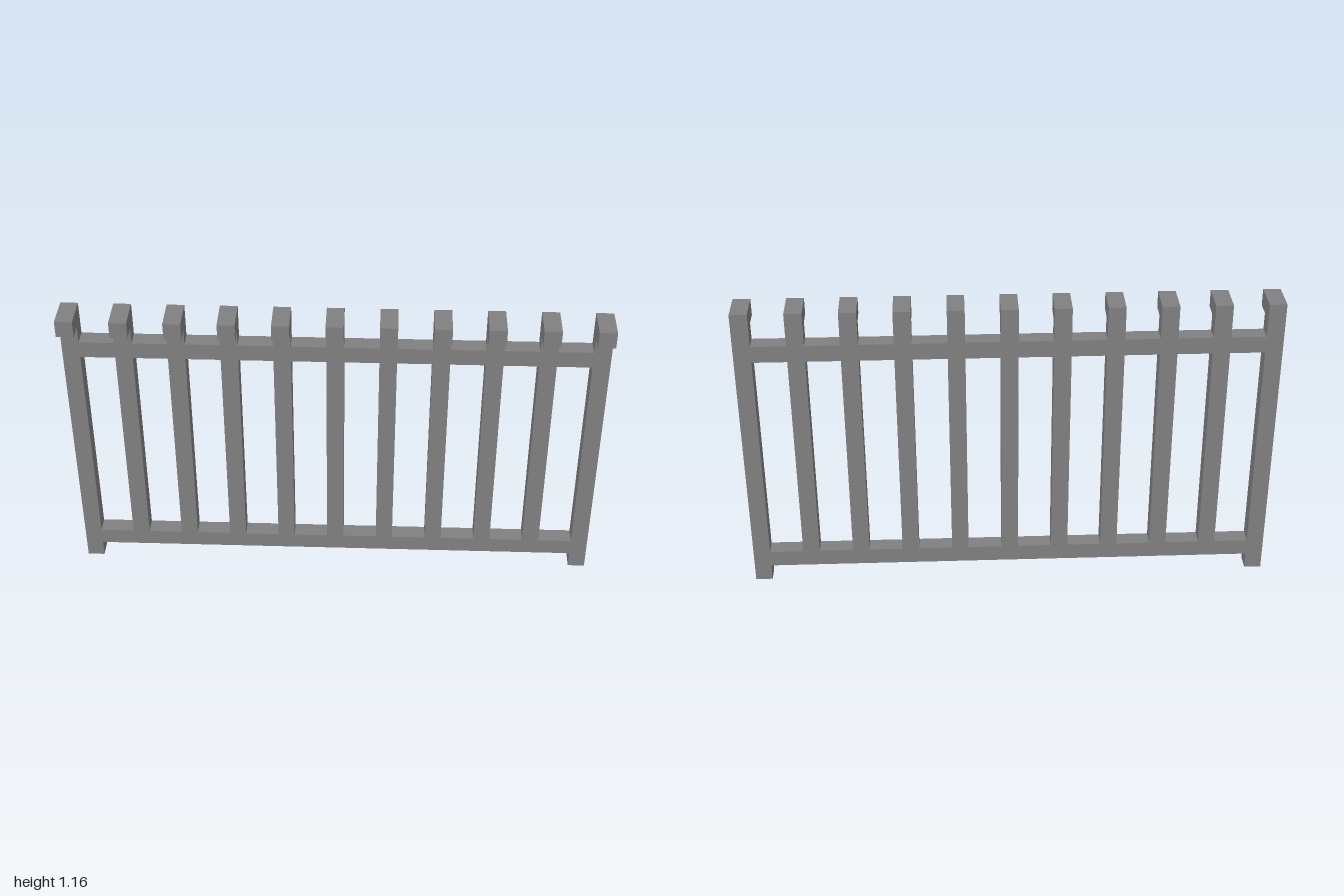
import * as THREE from 'three';

const U = 2 / 31;          // square bar thickness: 11 bars and 10 double gaps make 31 units
const COUNT = 11;
const PITCH = 3 * U;
const TOP = 18 * U;

// Upright bar with a square hook at the top pointing to the front
function picketGeometry(bottom) {
  const profile = new THREE.Shape([
    [-U, bottom], [0, bottom], [0, TOP - U], [U, TOP - U], [U, TOP], [-U, TOP],
  ].map(([z, y]) => new THREE.Vector2(z, y)));
  const geometry = new THREE.ExtrudeGeometry(profile, { depth: U, bevelEnabled: false });
  geometry.rotateY(-Math.PI / 2);
  geometry.translate(U / 2, 0, 0);
  return geometry;
}

export function createModel() {
  const fence = new THREE.Group();
  fence.name = 'fence';
  const grey = new THREE.MeshStandardMaterial({ color: 0x808080 });
  grey.name = 'grey metal';

  const add = (name, geometry, x, y, z) => {
    const mesh = new THREE.Mesh(geometry, grey);
    mesh.name = name;
    mesh.position.set(x, y, z);
    fence.add(mesh);
  };

  // End posts reach the ground, inner pickets stop at the lower rail's underside
  const post = picketGeometry(0);
  const picket = picketGeometry(U);
  const rail = new THREE.BoxGeometry(PITCH - U, U, U);

  for (let i = 0; i < COUNT; i++) {
    const x = (i - (COUNT - 1) / 2) * PITCH;
    const isEnd = i === 0 || i === COUNT - 1;
    add(isEnd ? 'endPost' : 'picket', isEnd ? post : picket, x, 0, 0);

    // Rail pieces fill the gap to the next bar, flush front and back
    if (i < COUNT - 1) {
      add('lowerRail', rail, x + PITCH / 2, 1.5 * U, -U / 2);
      add('upperRail', rail, x + PITCH / 2, 15.5 * U, -U / 2);
    }
  }
  return fence;
}
